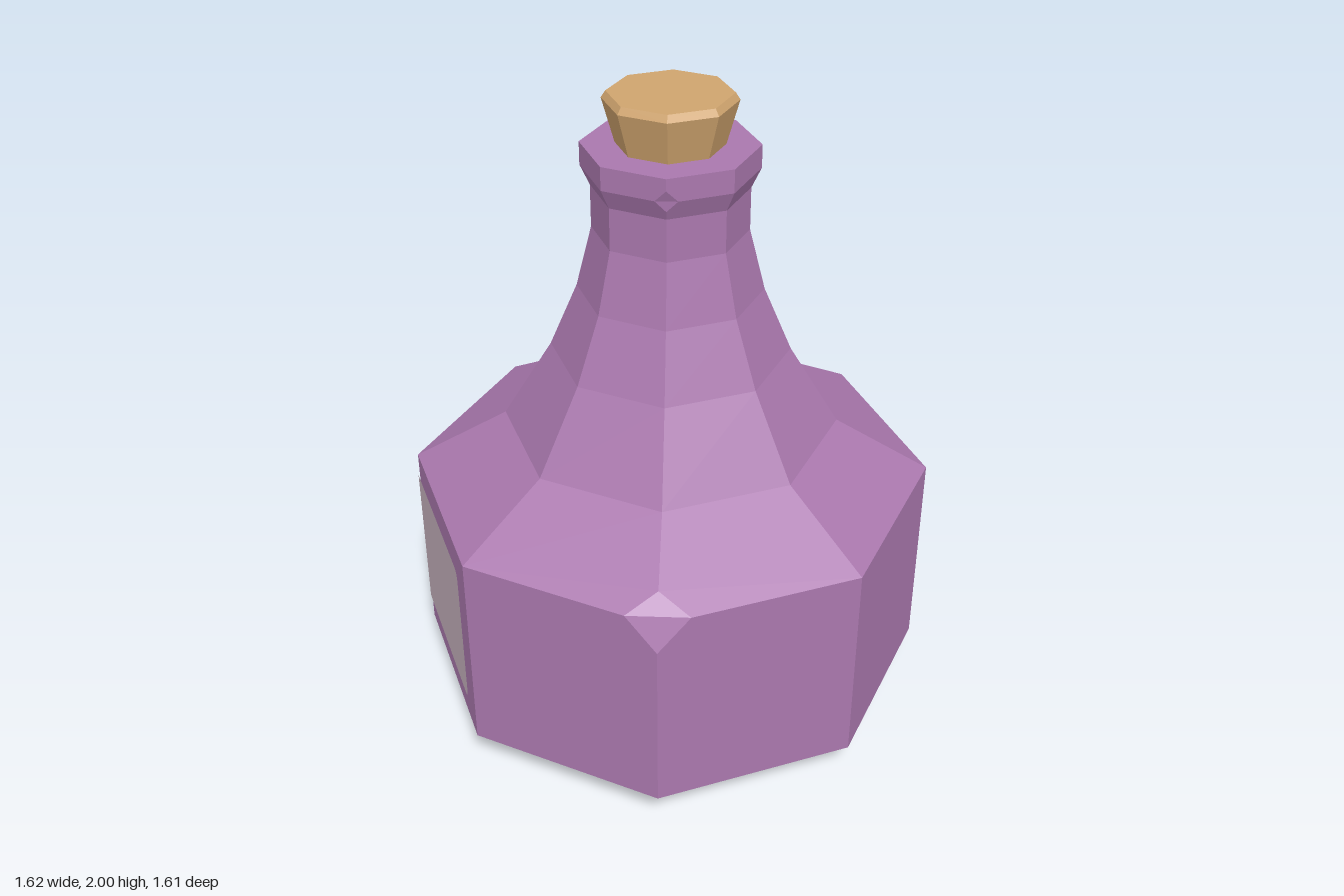
import * as THREE from 'three';

const SIDES = 8;

// Bottle cross-sections from the base to the inside of the mouth: [radius, height]
const RINGS = [
  [0.56, 0.005], [0.806, 0.125], [0.806, 0.78], [0.515, 0.95], [0.363, 1.2], [0.278, 1.4],
  [0.23, 1.59], [0.23, 1.72], [0.258, 1.78], [0.258, 1.85], [0.14, 1.85],
];

// Chipped corners: [ring, side, depth along each edge]
const CHIPS = [[2, 0, 0.1], [1, 3, 0.125], [8, 0, 0.035], [9, 4, 0.05]];

function corner([ring, side]) {
  const [r, y] = RINGS[ring];
  const a = (side / SIDES) * Math.PI * 2;
  return new THREE.Vector3(r * Math.sin(a), y, r * Math.cos(a));
}

// Point on the edge from one corner to another, a given distance along
function along(from, to, distance) {
  const p = corner(from);
  return p.add(corner(to).sub(p).setLength(distance));
}

function chipDepth([ring, side]) {
  const chip = CHIPS.find((c) => c[0] === ring && c[1] === side % SIDES);
  return chip ? chip[2] : 0;
}

function bottleGeometry() {
  const positions = [];
  const addPolygon = (pts) => {
    for (let k = 1; k < pts.length - 1; k++) {
      for (const p of [pts[0], pts[k], pts[k + 1]]) positions.push(p.x, p.y, p.z);
    }
  };
  // Polygon through ring corners, with chipped corners cut off
  const addFace = (keys) => {
    const n = keys.length;
    addPolygon(keys.flatMap((key, k) => {
      const d = chipDepth(key);
      if (!d) return [corner(key)];
      return [along(key, keys[(k + n - 1) % n], d), along(key, keys[(k + 1) % n], d)];
    }));
  };

  for (let i = 0; i < RINGS.length - 1; i++) {
    for (let j = 0; j < SIDES; j++) {
      addFace([[i, j], [i, j + 1], [i + 1, j + 1], [i + 1, j]]);
    }
  }
  // Base
  addFace(Array.from({ length: SIDES }, (_, j) => [0, SIDES - 1 - j]));
  // Facets left by the chips
  for (const [i, j, d] of CHIPS) {
    const neighbours = [[i, j + 1], [i + 1, j], [i, j - 1], [i - 1, j]];
    addPolygon(neighbours.map((to) => along([i, j], to, d)));
  }

  const geometry = new THREE.BufferGeometry();
  geometry.setAttribute('position', new THREE.Float32BufferAttribute(positions, 3));
  geometry.computeVertexNormals();
  return geometry;
}

// Half of the label, starting at the body edge and rounded at its outer end
function labelHalf(direction) {
  const w = 0.54, low = 0.21, high = 0.7, r = 0.035;
  const s = new THREE.Shape();
  s.moveTo(0, low);
  s.lineTo(direction * (w - r), low);
  s.quadraticCurveTo(direction * w, low, direction * w, low + r);
  s.lineTo(direction * w, high - r);
  s.quadraticCurveTo(direction * w, high, direction * (w - r), high);
  s.lineTo(0, high);
  return new THREE.ShapeGeometry(s, 4);
}

export function createModel() {
  const glass = new THREE.MeshStandardMaterial({ color: 0xaa78ae });
  const corkColor = new THREE.MeshStandardMaterial({ color: 0xcfa46e });
  const paper = new THREE.MeshStandardMaterial({ color: 0xc6b2be });
  glass.name = 'purple glass';
  corkColor.name = 'cork';
  paper.name = 'label paper';
  corkColor.flatShading = true;

  const model = new THREE.Group();
  model.name = 'corkedBottle';

  const bottle = new THREE.Mesh(bottleGeometry(), glass);
  bottle.name = 'bottle';
  model.add(bottle);

  // Tapered cork with a bevelled top
  const corkProfile = [[0, 1.8], [0.143, 1.8], [0.193, 1.98], [0.18, 2], [0, 2]];
  const cork = new THREE.Mesh(
    new THREE.LatheGeometry(corkProfile.map(([x, y]) => new THREE.Vector2(x, y)), SIDES),
    corkColor,
  );
  cork.name = 'cork';
  model.add(cork);

  // Label folded around the edge on the -x side
  const label = new THREE.Group();
  label.name = 'label';
  for (const direction of [1, -1]) {
    const half = new THREE.Mesh(labelHalf(direction), paper);
    half.name = direction > 0 ? 'labelFrontHalf' : 'labelBackHalf';
    half.rotation.y = -Math.PI / 2 + direction * Math.PI / 8;
    half.position.x = -0.811;
    label.add(half);
  }
  model.add(label);

  return model;
}
